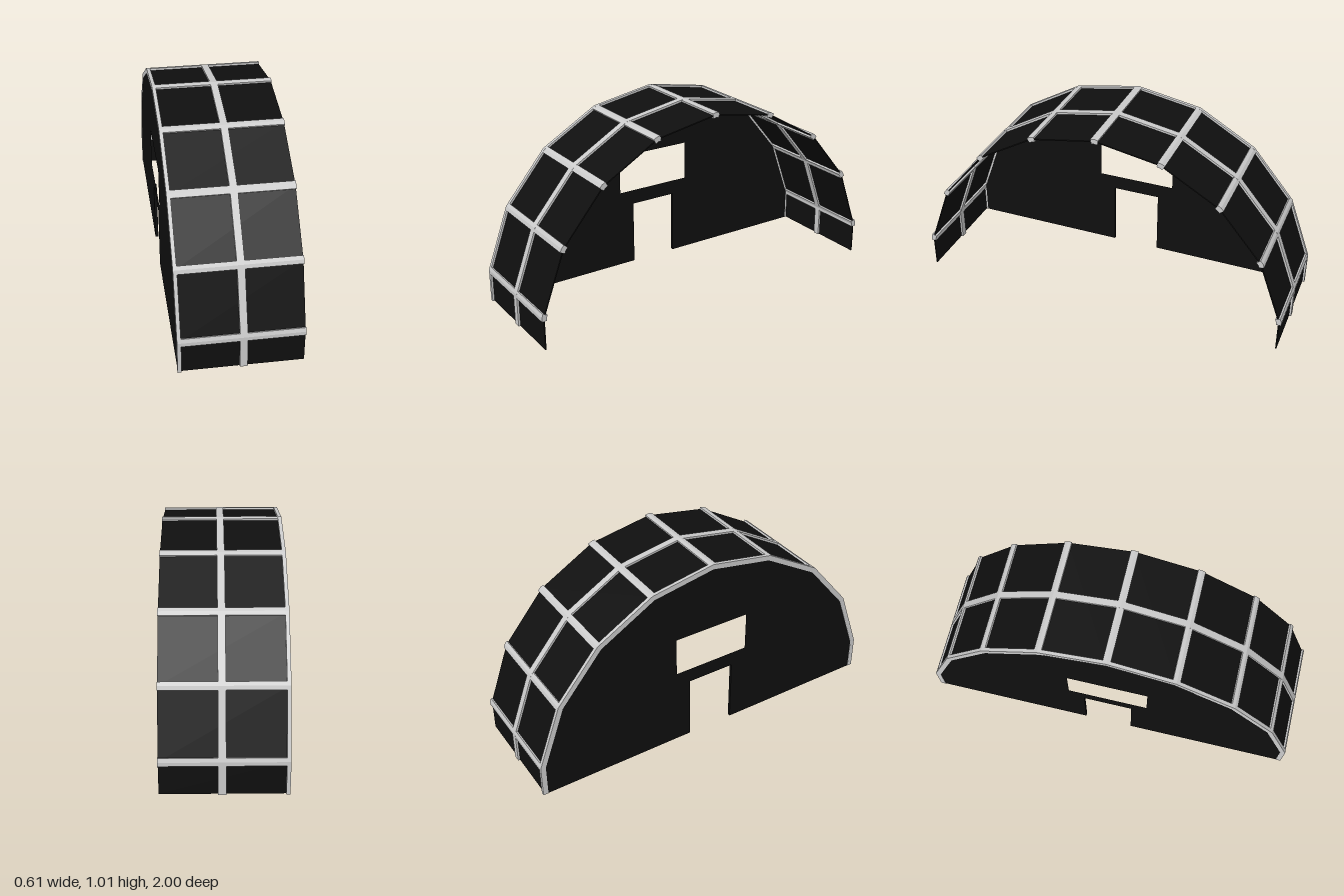
import * as THREE from 'three';

const grey = new THREE.MeshStandardMaterial({ color: 0xcccccc, flatShading: true });
const black = new THREE.MeshStandardMaterial({ color: 0x0f0f0f, flatShading: true });

// Extrude a (z, y) outline along x from x0 to x1
function extrudeX(shape, x0, x1, material, name) {
  const geo = new THREE.ExtrudeGeometry(shape, { depth: x1 - x0, bevelEnabled: false });
  geo.rotateY(Math.PI / 2);
  const mesh = new THREE.Mesh(geo, material);
  mesh.position.x = x0;
  mesh.name = name;
  return mesh;
}

// Outline of a bent strip of half thickness h around a polyline, with mitred corners
function strip(points, h) {
  const sides = [[], []];
  points.forEach((p, i) => {
    const a = points[Math.max(i - 1, 0)], b = points[Math.min(i + 1, points.length - 1)];
    const t1 = (i > 0 ? p.clone().sub(a) : b.clone().sub(p)).normalize();
    const t2 = (b !== p ? b.clone().sub(p) : t1.clone()).normalize();
    const t = t1.clone().add(t2).normalize();
    const n = new THREE.Vector2(-t.y, t.x).multiplyScalar(h / t.dot(t1));
    sides[0].push(p.clone().add(n));
    sides[1].unshift(p.clone().sub(n));
  });
  return new THREE.Shape([...sides[0], ...sides[1]]);
}

export function createModel() {
  const group = new THREE.Group();

  // Arch centre line: unit circle in 20 degree steps, then straight down to the ground
  const arch = [];
  for (let deg = -80; deg <= 80; deg += 20) {
    const a = THREE.MathUtils.degToRad(deg);
    arch.push(new THREE.Vector2(Math.sin(a), Math.cos(a)));
  }
  arch.unshift(new THREE.Vector2(arch[0].x, 0));
  arch.push(new THREE.Vector2(-arch[0].x, 0));

  const half = 0.0135;

  // Dark roof skin
  group.add(extrudeX(strip(arch, 0.003), -0.3, 0.303, black, 'roofPanels'));

  // Arched ribs at the walled end and in the middle
  group.add(extrudeX(strip(arch, half), -0.307, -0.288, grey, 'endRib'));
  group.add(extrudeX(strip(arch, half), -0.01, 0.027, grey, 'middleRib'));

  // Lengthwise beams bent over every corner of the arch
  for (let i = 1; i < arch.length - 1; i++) {
    const p = arch[i];
    const toward = (q) => p.clone().add(q.clone().sub(p).setLength(0.018));
    const section = strip([toward(arch[i - 1]), p, toward(arch[i + 1])], half - 0.0003);
    group.add(extrudeX(section, -0.3065, 0.305, grey, 'beam' + i));
  }

  // End wall with a doorway notch and a window
  const [dw, dh] = [0.13, 0.35];
  const wall = new THREE.Shape([
    ...arch,
    new THREE.Vector2(dw, 0), new THREE.Vector2(dw, dh),
    new THREE.Vector2(-dw, dh), new THREE.Vector2(-dw, 0),
  ]);
  const [ww, w0, w1] = [0.212, 0.43, 0.642];
  wall.holes.push(new THREE.Path([
    new THREE.Vector2(-ww, w0), new THREE.Vector2(-ww, w1),
    new THREE.Vector2(ww, w1), new THREE.Vector2(ww, w0),
  ]));
  group.add(extrudeX(wall, -0.305, -0.289, black, 'endWall'));

  return group;
}
